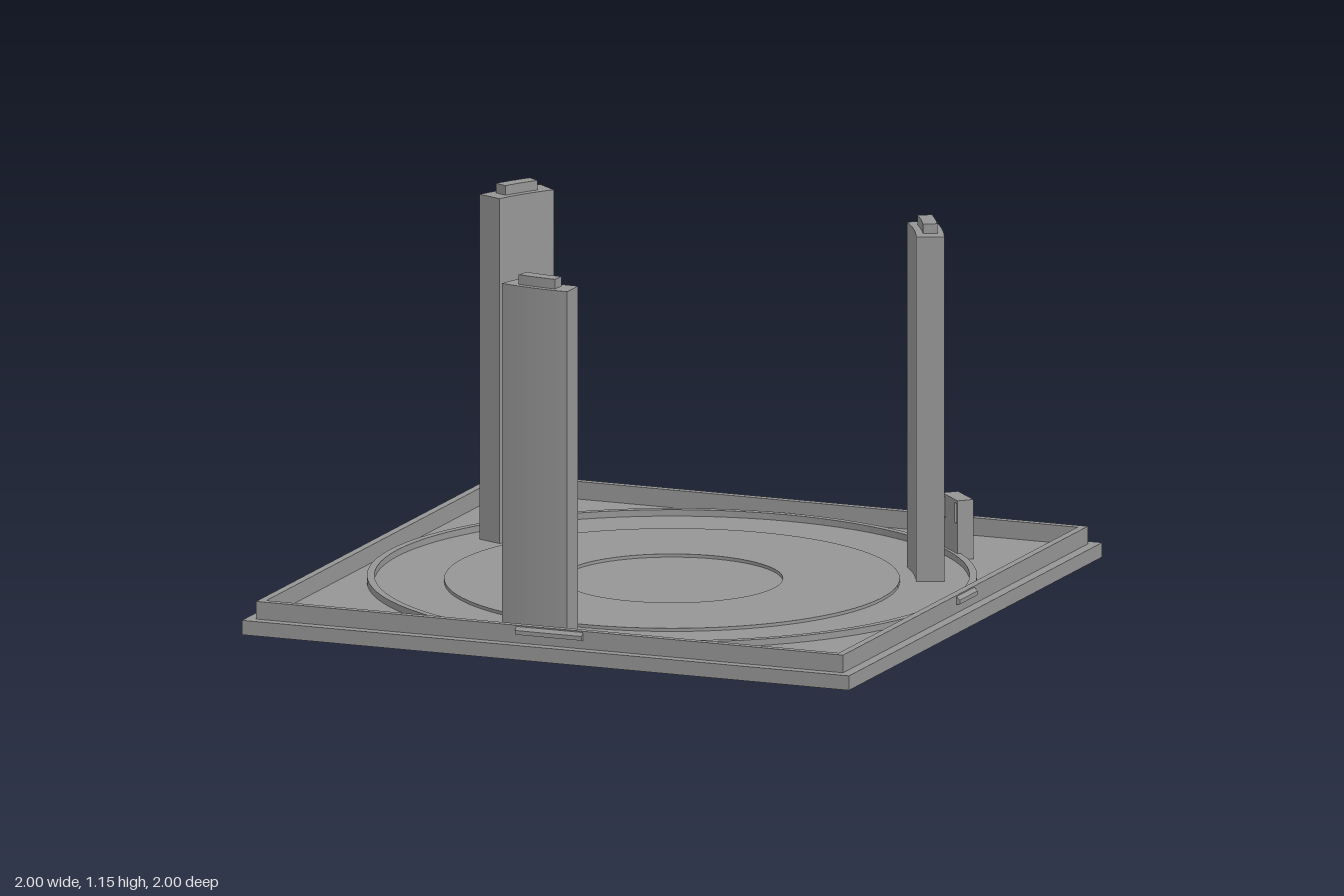
import * as THREE from 'three';

const DEG = Math.PI / 180;
const FLOOR = 0.045;

export function createModel() {
  const group = new THREE.Group();
  const grey = new THREE.MeshStandardMaterial({ color: 0x959595 });

  const add = (geometry, name) => {
    const mesh = new THREE.Mesh(geometry, grey);
    mesh.name = name;
    group.add(mesh);
    return mesh;
  };

  // Raise a plan shape (x, -z) from y0 to y1
  const raise = (shape, y0, y1, curveSegments = 48) =>
    new THREE.ExtrudeGeometry(shape, { depth: y1 - y0, bevelEnabled: false, curveSegments })
      .rotateX(-Math.PI / 2).translate(0, y0, 0);

  const square = (Type, h) => new Type([
    new THREE.Vector2(-h, -h), new THREE.Vector2(h, -h),
    new THREE.Vector2(h, h), new THREE.Vector2(-h, h),
  ]);

  const ring = (inner, outer) => {
    const shape = new THREE.Shape().absarc(0, 0, outer, 0, Math.PI * 2, false);
    shape.holes.push(new THREE.Path().absarc(0, 0, inner, 0, Math.PI * 2, true));
    return shape;
  };

  // Arc segment; angles in degrees from the front towards the model's right
  const sector = (inner, outer, from, to) => {
    const a = -Math.PI / 2 - from * DEG, b = -Math.PI / 2 - to * DEG;
    const shape = new THREE.Shape();
    shape.absarc(0, 0, outer, a, b, true);
    shape.absarc(0, 0, inner, b, a, false);
    shape.closePath();
    return shape;
  };

  // Base plate and its upright rim
  add(new THREE.BoxGeometry(2, FLOOR, 2).translate(0, FLOOR / 2, 0), 'basePlate');
  const rim = square(THREE.Shape, 0.967);
  rim.holes.push(square(THREE.Path, 0.943));
  add(raise(rim, FLOOR, 0.1), 'rim');

  // Circular ridge and raised centre platform with a round recess
  add(raise(ring(0.905, 0.928), FLOOR, 0.065), 'circularRidge');
  add(raise(ring(0.337, 0.693), FLOOR, 0.055), 'centrePlatform');

  // Three curved pillars with a locating tab on top
  for (const start of [0, 112.4, 231.6]) {
    add(raise(sector(0.742, 0.828, start, start + 16), FLOOR, 1.12, 8), 'pillar');
    add(raise(sector(0.764, 0.808, start + 3.5, start + 12.6), 1.12, 1.15, 8), 'pillarTab');
  }

  // Snap-fit catches on the outside of the rim
  const catchShape = new THREE.Shape([
    new THREE.Vector2(0.965, 0.07), new THREE.Vector2(0.978, 0.073),
    new THREE.Vector2(0.978, 0.086), new THREE.Vector2(0.965, 0.098),
  ]);
  [0.07, 0.07, 0.07, 0.11].forEach((half, i) => {
    const geometry = new THREE.ExtrudeGeometry(catchShape, { depth: half * 2, bevelEnabled: false });
    geometry.translate(0, 0, -half).rotateY(i * Math.PI / 2);
    add(geometry, 'rimCatch');
  });

  // Small slotted block at the rear left
  const height = 0.23 - FLOOR, half = 0.062, depth = 0.052;
  const face = new THREE.Shape([
    new THREE.Vector2(-half, 0), new THREE.Vector2(half, 0),
    new THREE.Vector2(half, height), new THREE.Vector2(-half, height),
  ]);
  for (const u of [-0.045, 0.045]) {
    face.holes.push(new THREE.Path([
      new THREE.Vector2(u - 0.009, 0.112), new THREE.Vector2(u - 0.009, 0.175),
      new THREE.Vector2(u + 0.009, 0.175), new THREE.Vector2(u + 0.009, 0.112),
    ]));
  }
  const block = add(
    new THREE.ExtrudeGeometry(face, { depth, bevelEnabled: false }).translate(0, 0, -depth / 2),
    'slottedBlock');
  block.position.set(0.663, FLOOR, -0.668);
  block.rotation.y = 135 * DEG;

  return group;
}
